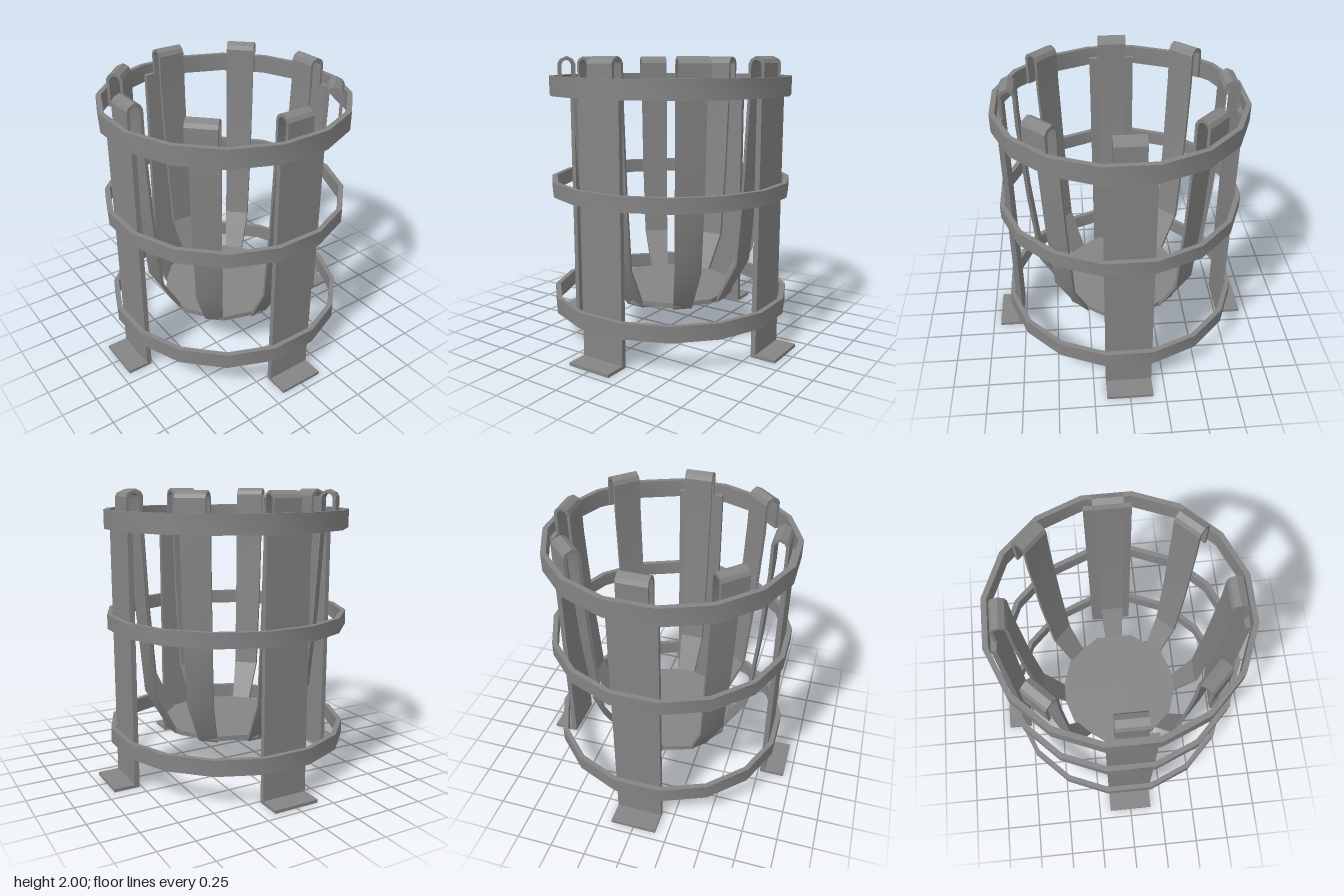
import * as THREE from 'three';
import { toCreasedNormals } from 'three/addons/utils/BufferGeometryUtils.js';

const material = new THREE.MeshStandardMaterial({ color: 0x848484, side: THREE.DoubleSide });
const vectors = (points) => points.map(([x, y]) => new THREE.Vector2(x, y));

function addMesh(parent, name, geometry) {
  const mesh = new THREE.Mesh(toCreasedNormals(geometry, 0.42), material);
  mesh.name = name;
  parent.add(mesh);
  return mesh;
}

// Profile in (radius, height), extruded sideways to a half width that may depend on radius
function strip(outline, halfWidth) {
  const geometry = new THREE.ExtrudeGeometry(new THREE.Shape(vectors(outline)), { depth: 2, bevelEnabled: false });
  geometry.translate(0, 0, -1);
  const p = geometry.attributes.position;
  for (let i = 0; i < p.count; i++) p.setZ(i, p.getZ(i) * halfWidth(p.getX(i)));
  return geometry;
}

export function createModel() {
  const group = new THREE.Group();
  group.name = 'basket';

  // Three sixteen-sided hoops
  const outer = 0.84 / Math.cos(Math.PI / 16);
  const inner = 0.805 / Math.cos(Math.PI / 16);
  [['lowerHoop', 0.225, 0.335], ['middleHoop', 1.055, 1.157], ['upperHoop', 1.74, 1.868]].forEach(([name, y0, y1]) => {
    const profile = vectors([[outer, y0], [outer, y1], [inner, y1], [inner, y0], [outer, y0]]);
    addMesh(group, name, new THREE.LatheGeometry(profile, 16, Math.PI / 16));
  });

  // Four upright legs with feet turned outwards
  const legOutline = [[0.765, 0], [0.945, 0], [0.945, 0.022], [0.8, 0.022], [0.8, 1.8], [0.765, 1.8]];
  for (let i = 0; i < 4; i++) {
    addMesh(group, 'leg', strip(legOutline, () => 0.163)).rotation.y = i * Math.PI / 2;
  }

  // Eight bent ribs: hooked at the top, tapering to the centre under the dish
  const ribInside = [
    [0.78, 1.76], [0.78, 1.955], [0.765, 1.98], [0.72, 2], [0.683, 1.98], [0.668, 1.95],
    [0.667, 1.74], [0.635, 1.16], [0.585, 0.6], [0.425, 0.315], [0, 0.19],
  ];
  const ribOutside = [
    [0, 0.168], [0.44, 0.295], [0.605, 0.6], [0.655, 1.16], [0.687, 1.74],
    [0.688, 1.945], [0.697, 1.965], [0.721, 1.978], [0.75, 1.965], [0.76, 1.945], [0.76, 1.76],
  ];
  for (let i = 0; i < 8; i++) {
    const geometry = strip([...ribInside, ...ribOutside], (r) => Math.min(0.1, r * 0.15));
    addMesh(group, 'rib', geometry).rotation.y = i * Math.PI / 4;
  }

  // Ten-sided dish with a flat top and a shallow conical underside
  const dish = vectors([[0, 0.185], [0.466, 0.312], [0.466, 0.345], [0, 0.345]]);
  addMesh(group, 'dish', new THREE.LatheGeometry(dish, 10, Math.PI / 2));

  return group;
}
